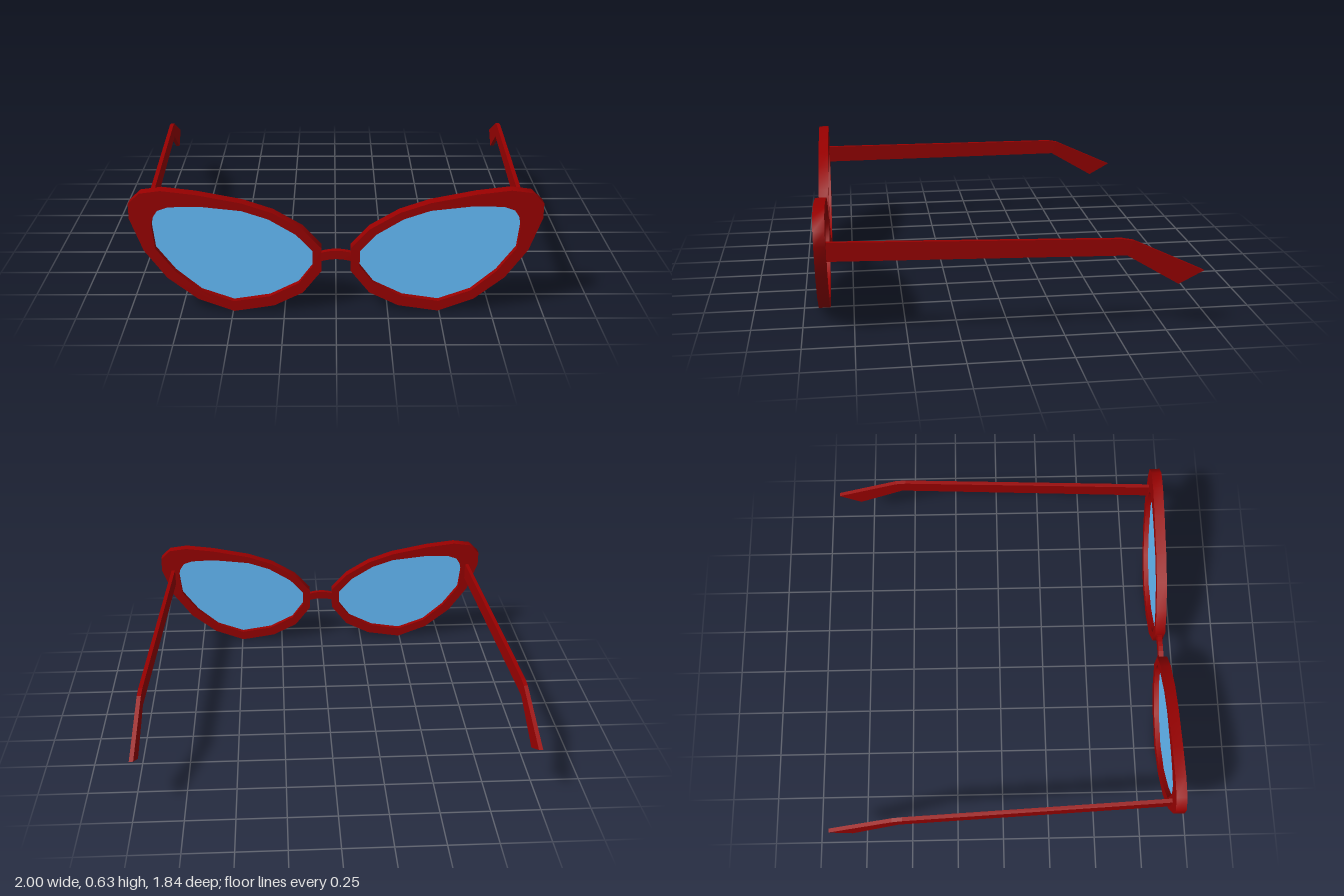
import * as THREE from 'three';
import { toCreasedNormals } from 'three/addons/utils/BufferGeometryUtils.js';

const red = new THREE.MeshStandardMaterial({ color: 0x990000 });
const blue = new THREE.MeshStandardMaterial({ color: 0x66bfff, side: THREE.DoubleSide });

// Rim outline (clockwise) and lens opening (anticlockwise) of the left half, as x, y
const outer = [[0.07, 0.335], [0.16, 0.433], [0.3, 0.517], [0.445, 0.567], [0.66, 0.61], [0.82, 0.63], [0.92, 0.617], [0.975, 0.565],
  [0.975, 0.49], [0.915, 0.325], [0.81, 0.18], [0.665, 0.065], [0.495, 0], [0.3, 0.03], [0.16, 0.1], [0.07, 0.215]];
const inner = [[0.113, 0.24], [0.18, 0.15], [0.32, 0.08], [0.495, 0.053], [0.65, 0.11], [0.77, 0.214], [0.86, 0.335], [0.873, 0.455],
  [0.865, 0.492], [0.84, 0.53], [0.79, 0.547], [0.72, 0.55], [0.64, 0.55], [0.445, 0.528], [0.32, 0.485], [0.19, 0.405], [0.113, 0.32]];
// Temple side profile, as z, y
const temple = [[0.88, 0.49], [-0.52, 0.47], [-0.575, 0.46], [-0.92, 0.3], [-0.8, 0.235], [-0.545, 0.387], [0.88, 0.397]];

const points = (list, s = 1) => list.map(([x, y]) => new THREE.Vector2(s * x, y));

function add(group, name, geometry, material) {
  const mesh = new THREE.Mesh(geometry, material);
  mesh.name = name;
  group.add(mesh);
}

function extrude(shape, depth) {
  return new THREE.ExtrudeGeometry(shape, { depth, bevelEnabled: false });
}

export function createModel() {
  const group = new THREE.Group();
  group.name = 'glasses';

  for (const [side, s] of [['left', 1], ['right', -1]]) {
    // Swept-up rim with the lens opening cut out, smooth around its walls
    const shape = new THREE.Shape(points(outer, s));
    shape.holes.push(new THREE.Path(points(inner, s)));
    const rim = toCreasedNormals(extrude(shape, 0.055), 1.2);
    add(group, side + 'Rim', rim.translate(0, 0, 0.867), red);

    // Flat lens in the middle of the rim
    const lens = new THREE.ShapeGeometry(new THREE.Shape(points(inner, s)));
    add(group, side + 'Lens', lens.translate(0, 0, 0.894), blue);

    // Temple arm, splayed outwards towards the bent tip
    const arm = extrude(new THREE.Shape(points(temple)), 0.021);
    arm.rotateY(-Math.PI / 2).translate(0.0105, 0, 0);
    const p = arm.attributes.position;
    for (let i = 0; i < p.count; i++) {
      p.setX(i, p.getX(i) + s * (0.907 + (0.87 - p.getZ(i)) * 0.0464));
    }
    arm.computeVertexNormals();
    add(group, side + 'Temple', arm, red);
  }

  // Slightly arched bridge
  const bridge = new THREE.Shape();
  const n = 6, half = 0.085;
  const arch = (t) => 0.315 - 0.015 * t * t;
  for (let i = 0; i <= n; i++) {
    const t = (2 * i) / n - 1;
    bridge[i ? 'lineTo' : 'moveTo'](t * half, arch(t));
  }
  for (let i = n; i >= 0; i--) {
    const t = (2 * i) / n - 1;
    bridge.lineTo(t * half, arch(t) - 0.044);
  }
  add(group, 'bridge', extrude(bridge, 0.026).translate(0, 0, 0.881), red);

  return group;
}
